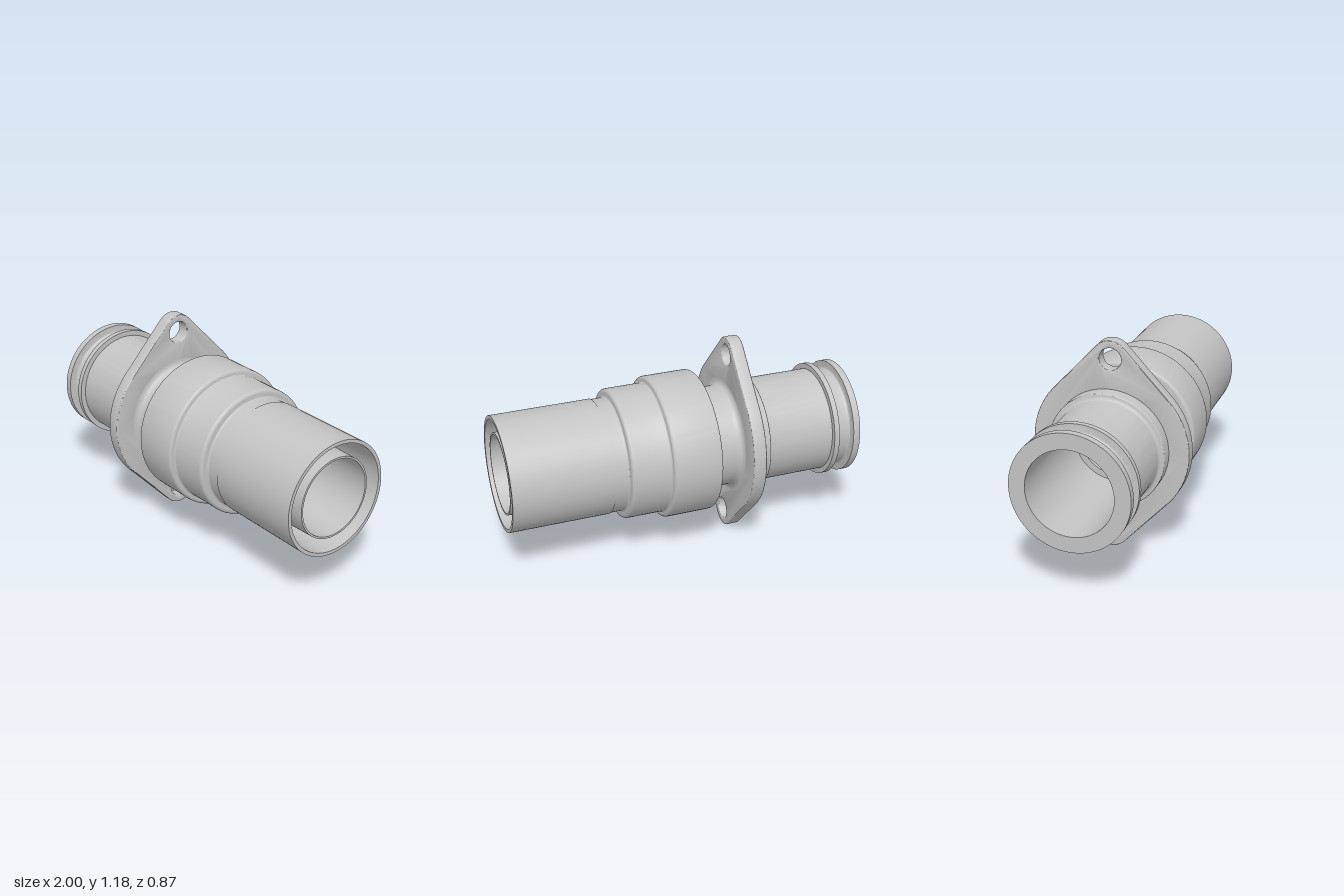
import * as THREE from 'three';
import { toCreasedNormals } from 'three/addons/utils/BufferGeometryUtils.js';

const AXIS_Y = 0.593;

// Closed profile of [along, radius, cornerRounding], revolved about the x axis
function revolve(corners, segments = 96) {
  const pts = [];
  corners.forEach(([x, r, f = 0], i) => {
    const p = new THREE.Vector2(r, x);
    if (!f) { pts.push(p); return; }
    const [ax, ar] = corners[i - 1], [bx, br] = corners[i + 1];
    const a = new THREE.Vector2(ar, ax).sub(p).setLength(f).add(p);
    const b = new THREE.Vector2(br, bx).sub(p).setLength(f).add(p);
    pts.push(...new THREE.QuadraticBezierCurve(a, p, b).getPoints(6));
  });
  pts.push(pts[0].clone());
  const geo = new THREE.LatheGeometry(pts, segments);
  geo.rotateZ(-Math.PI / 2);
  return toCreasedNormals(geo, 0.5);
}

// Lozenge plate: a large arc joined by tangents to two ear arcs with bolt holes
function flangeGeometry() {
  const R = 0.436, ear = 0.102, d = 0.49, bevel = 0.008, thick = 0.075;
  const a = Math.asin((R - ear) / d);
  const s = new THREE.Shape();
  s.absarc(0, 0, R, -a, a);
  s.absarc(0, d, ear, a, Math.PI - a);
  s.absarc(0, 0, R, Math.PI - a, Math.PI + a);
  s.absarc(0, -d, ear, Math.PI + a, 2 * Math.PI - a);
  s.closePath();
  for (const [y, r] of [[d, 0.06], [0, 0.29], [-d, 0.06]]) {
    s.holes.push(new THREE.Path().absarc(0, y, r, 0, Math.PI * 2, true));
  }
  const geo = new THREE.ExtrudeGeometry(s, {
    depth: thick - 2 * bevel, bevelEnabled: true, bevelSize: bevel,
    bevelThickness: bevel, bevelOffset: -bevel, bevelSegments: 3, curveSegments: 32,
  });
  geo.translate(0, 0, bevel);
  geo.rotateY(Math.PI / 2);
  return toCreasedNormals(geo, 0.5);
}

export function createModel() {
  const group = new THREE.Group();
  const metal = new THREE.MeshStandardMaterial({ color: 0xc4c4c4 });
  metal.name = 'light grey metal';
  const add = (name, geo, x = 0) => {
    const mesh = new THREE.Mesh(geo, metal);
    mesh.name = name;
    mesh.position.set(x, AXIS_Y, 0);
    group.add(mesh);
  };

  add('connectorBody', revolve([
    // rear rim and seal groove
    [-1, 0.322], [-0.96, 0.322], [-0.96, 0.275, 0.014], [-0.873, 0.275, 0.014],
    [-0.873, 0.322], [-0.842, 0.322], [-0.842, 0.292],
    // rear barrel and flange collar
    [-0.455, 0.292, 0.025], [-0.455, 0.325, 0.008], [-0.305, 0.325],
    [-0.305, 0.283, 0.04], [-0.145, 0.283],
    // stepped coupling
    [-0.145, 0.397, 0.022], [0.135, 0.397, 0.022], [0.135, 0.362, 0.012],
    [0.36, 0.362, 0.022], [0.36, 0.316, 0.012],
    // front sleeve, tapered inside
    [0.44, 0.316], [0.44, 0.32], [1, 0.32], [1, 0.3], [0.45, 0.27],
    // inner spigot
    [0.45, 0.24], [0.99, 0.226], [0.99, 0.215],
    // through bore
    [0.1, 0.215], [0.1, 0.2], [-0.3, 0.2], [-0.3, 0.235], [-1, 0.235],
  ]));
  add('mountingFlange', flangeGeometry(), -0.38);
  return group;
}
